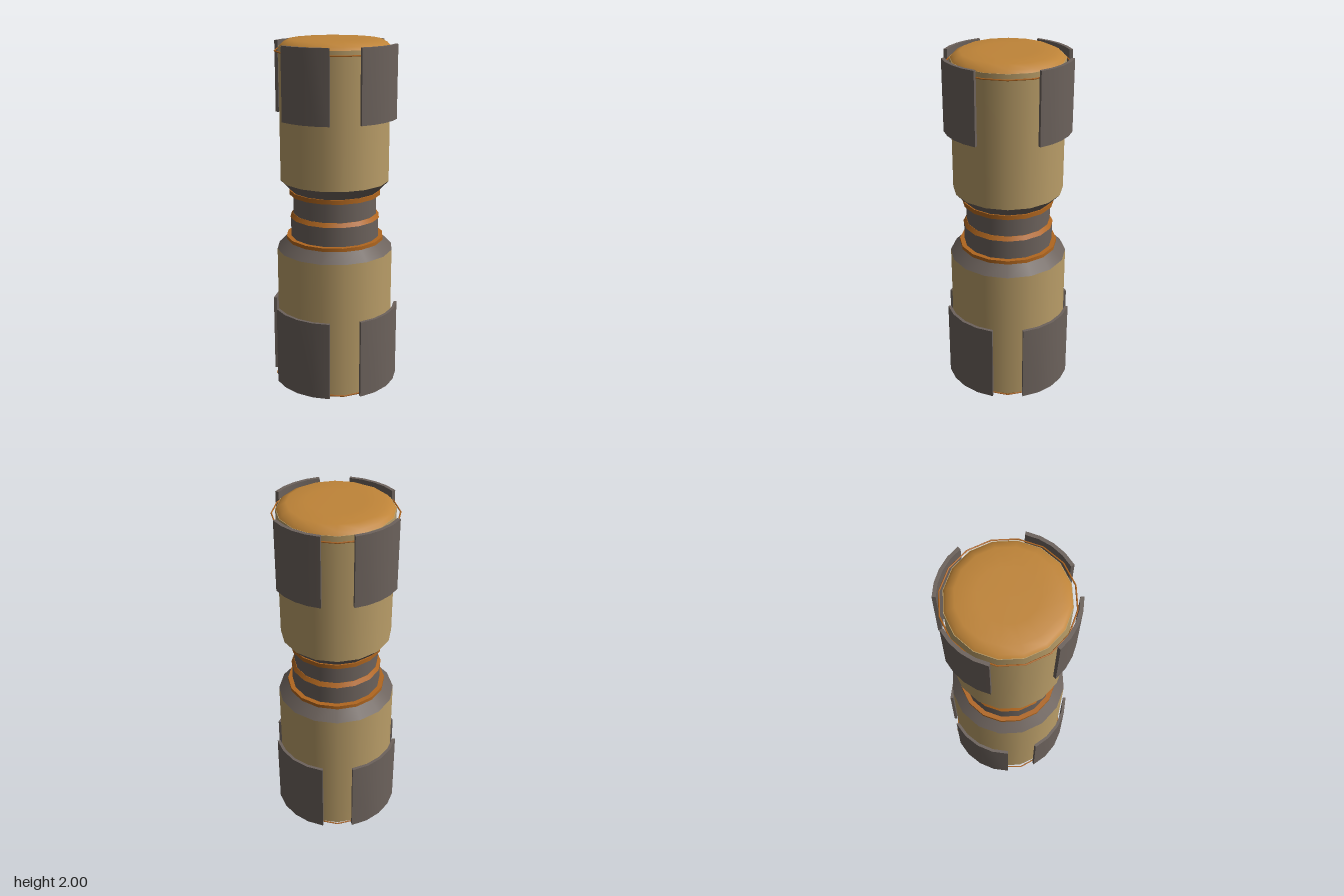
import * as THREE from 'three';
import { toCreasedNormals } from 'three/addons/utils/BufferGeometryUtils.js';

const SIDES = 16;

function material(name, color) {
  const m = new THREE.MeshStandardMaterial({ color });
  m.name = name;
  return m;
}

export function createModel() {
  const group = new THREE.Group();
  const tan = material('tan shell', 0xb99d68);
  const grey = material('warm grey metal', 0x6c625c);
  const amber = material('amber cap', 0xbf8438);
  const copper = material('copper trim', 0xb0661f);

  function add(name, geometry, mat) {
    const mesh = new THREE.Mesh(geometry, mat);
    mesh.name = name;
    group.add(mesh);
    return mesh;
  }

  // Upright drum or cone between two heights
  function drum(name, y0, y1, r0, r1, mat) {
    const g = new THREE.CylinderGeometry(r1, r0, y1 - y0, SIDES);
    add(name, g.translate(0, (y0 + y1) / 2, 0), mat);
  }

  // Main shells, tapered collars and waist
  drum('lowerShell', 0.045, 0.83, 0.33, 0.33, tan);
  drum('lowerCollar', 0.83, 0.89, 0.33, 0.27, grey);
  drum('lowerTrim', 0.885, 0.905, 0.276, 0.276, copper);
  drum('lowerWaist', 0.9, 1.02, 0.25, 0.25, grey);
  drum('middleTrim', 1.015, 1.037, 0.254, 0.238, copper);
  drum('upperWaist', 1.03, 1.15, 0.236, 0.236, grey);
  drum('upperTrim', 1.147, 1.172, 0.257, 0.257, copper);
  drum('upperCollar', 1.172, 1.23, 0.25, 0.305, grey);
  drum('upperShell', 1.23, 1.962, 0.305, 0.305, tan);

  // Softly rounded end caps, profiles running upward
  function cap(name, points) {
    const profile = points.map(([r, y]) => new THREE.Vector2(r, y));
    add(name, new THREE.LatheGeometry(profile, SIDES), amber);
  }
  cap('topCap', [[0.304, 1.96], [0.288, 1.978], [0.25, 1.997], [0.15, 2], [0, 2]]);
  cap('bottomCap', [[0, 0], [0.16, 0], [0.265, 0.003], [0.31, 0.025], [0.33, 0.046]]);

  // Thin hoops standing off the shells
  function hoop(name, y, radius, sides) {
    const g = new THREE.TorusGeometry(radius, 0.004, 6, sides);
    add(name, g.rotateX(Math.PI / 2).translate(0, y, 0), copper);
  }
  hoop('topHoop', 1.938, 0.325, 16);
  hoop('bottomHoop', 0.05, 0.346, 12);

  // Curved guard plate, angles in degrees measured from the front axis
  function guardGeometry(inner, outer, start, end, y0, y1) {
    const steps = 4;
    const arc = (radius) => Array.from({ length: steps + 1 }, (_, i) => {
      const a = THREE.MathUtils.degToRad(start + (end - start) * i / steps);
      return new THREE.Vector2(radius * Math.sin(a), -radius * Math.cos(a));
    });
    const shape = new THREE.Shape([...arc(outer), ...arc(inner).reverse()]);
    const g = new THREE.ExtrudeGeometry(shape, { depth: y1 - y0, bevelEnabled: false });
    g.rotateX(-Math.PI / 2).translate(0, y0, 0);
    return toCreasedNormals(g, 0.5);
  }

  // Four guards per end, mirrored left to right and front to back
  function guards(name, inner, outer, from, to, y0, y1) {
    const spans = [[from, to], [-to, -from], [180 - to, 180 - from], [180 + from, 180 + to]];
    for (const [a, b] of spans) add(name, guardGeometry(inner, outer, a, b, y0, y1), grey);
  }
  guards('upperGuard', 0.331, 0.35, 13.8, 62, 1.585, 1.98);
  guards('lowerGuard', 0.344, 0.361, 14, 76, 0.04, 0.495);

  return group;
}
